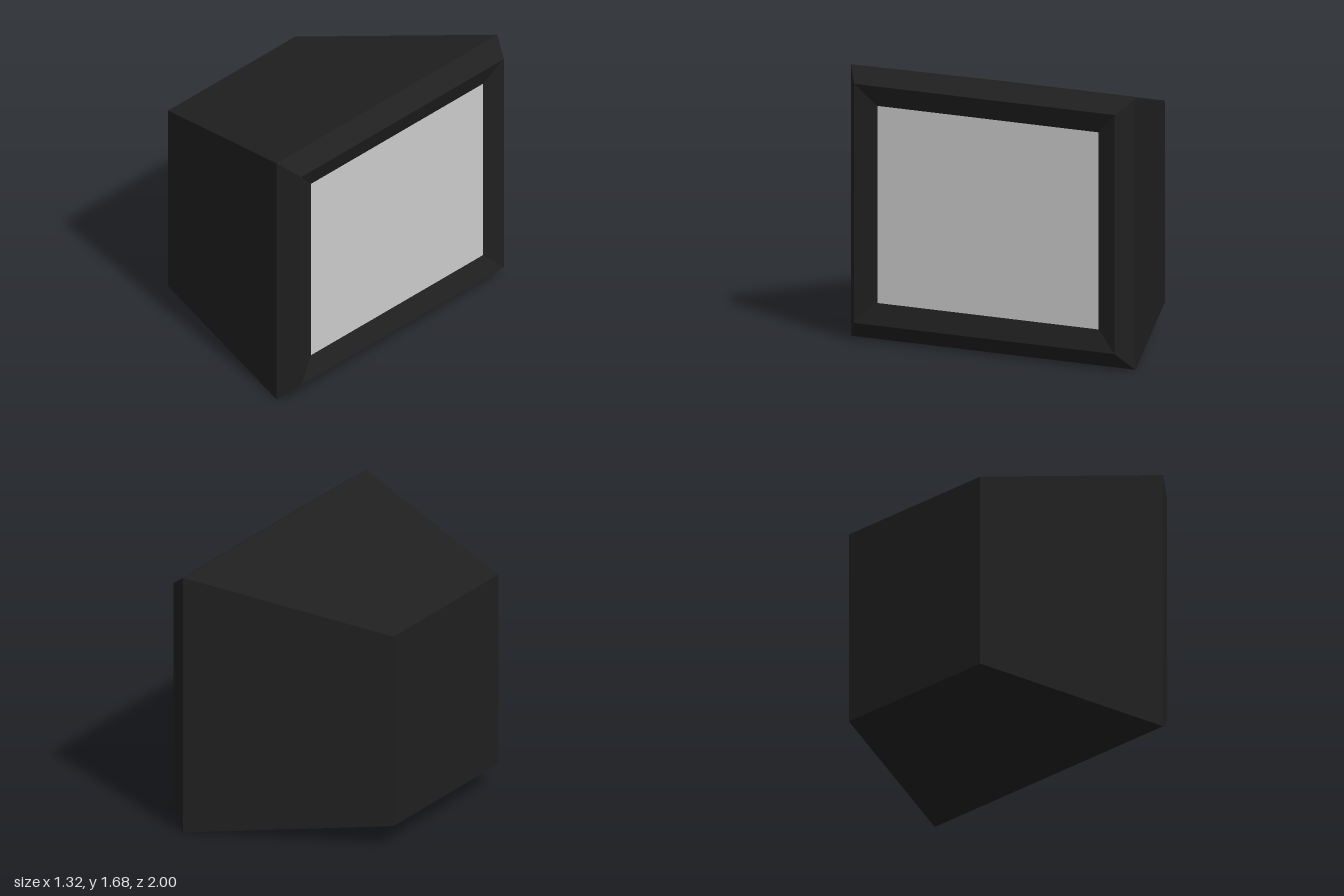
import * as THREE from 'three';

// Rectangular cross-section at x, corners counter-clockwise as seen from +x
const ring = (x, y0, y1, z0, z1) => [[x, y0, z1], [x, y0, z0], [x, y1, z0], [x, y1, z1]];

// Flat-shaded geometry from a list of four-cornered faces
function quads(faces) {
  const points = faces.flatMap(([a, b, c, d]) => [a, b, c, a, c, d]).flat();
  const geometry = new THREE.BufferGeometry();
  geometry.setAttribute('position', new THREE.Float32BufferAttribute(points, 3));
  geometry.computeVertexNormals();
  return geometry;
}

// Faces joining successive cross-sections
function loft(rings) {
  const faces = [];
  for (let i = 0; i < rings.length - 1; i++) {
    for (let j = 0; j < 4; j++) {
      const k = (j + 1) % 4;
      faces.push([rings[i][j], rings[i][k], rings[i + 1][k], rings[i + 1][j]]);
    }
  }
  return faces;
}

export function createModel() {
  const model = new THREE.Group();
  model.name = 'monitor';
  const casing = new THREE.MeshStandardMaterial({ color: 0x202020, flatShading: true });
  const glass = new THREE.MeshStandardMaterial({ color: 0xcccccc, flatShading: true });
  const add = (name, faces, material) => {
    const mesh = new THREE.Mesh(quads(faces), material);
    mesh.name = name;
    model.add(mesh);
  };

  const back = ring(-0.66, 0.15, 1.4, -0.5, 0.65);
  const shoulder = ring(0.54, 0, 1.68, -1, 1);
  const rim = ring(0.66, 0.11, 1.59, -0.925, 0.91);
  const recess = ring(0.615, 0.24, 1.46, -0.785, 0.77);

  // Tapered housing with its closed back
  add('housing', [[...back].reverse(), ...loft([back, shoulder])], casing);
  // Bevelled frame turning inward to the screen
  add('bezel', loft([shoulder, rim, recess]), casing);
  // Recessed flat screen
  add('screen', [recess], glass);
  return model;
}
